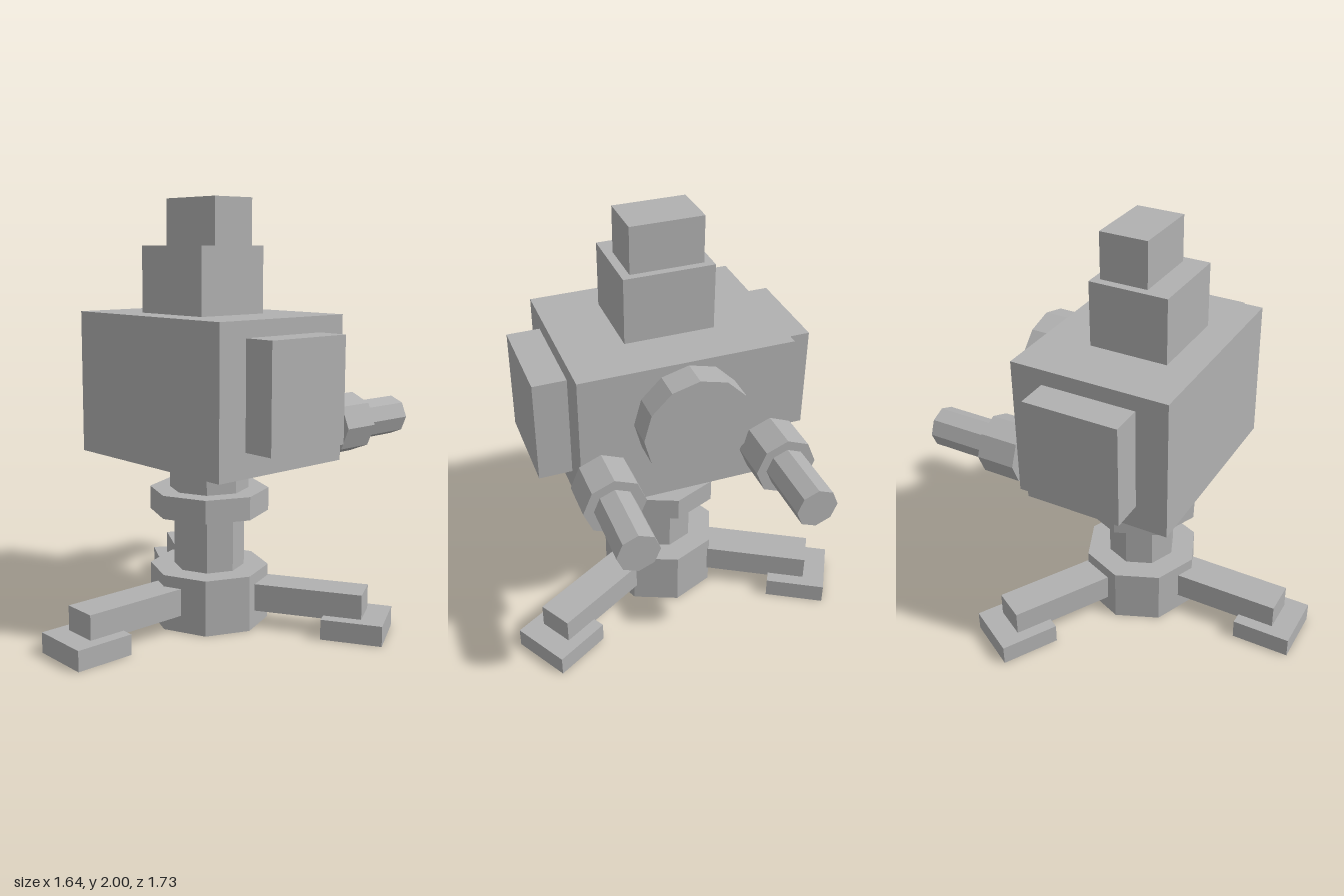
import * as THREE from 'three';

export function createModel() {
  const model = new THREE.Group();
  model.name = 'sentryTurret';
  const grey = new THREE.MeshStandardMaterial({ color: 0xb0b0b0, flatShading: true });
  grey.name = 'plain grey';

  const add = (name, geometry, parent = model) => {
    const mesh = new THREE.Mesh(geometry, grey);
    mesh.name = name;
    parent.add(mesh);
    return mesh;
  };
  // Box given by its lower and upper limits on each axis
  const box = (name, [x0, x1], [y0, y1], [z0, z1], parent) =>
    add(name, new THREE.BoxGeometry(x1 - x0, y1 - y0, z1 - z0)
      .translate((x0 + x1) / 2, (y0 + y1) / 2, (z0 + z1) / 2), parent);
  // Upright prism between two heights
  const post = (name, radius, y0, y1) =>
    add(name, new THREE.CylinderGeometry(radius, radius, y1 - y0, 8).translate(0, (y0 + y1) / 2, 0));
  // Prism lying along z
  const barrel = (name, radius, sides, x, y, z0, z1) =>
    add(name, new THREE.CylinderGeometry(radius, radius, z1 - z0, sides)
      .rotateX(Math.PI / 2).translate(x, y, (z0 + z1) / 2));

  // Pedestal
  post('base', 0.284, 0, 0.265);
  post('column', 0.168, 0.265, 0.535);
  post('collar', 0.284, 0.535, 0.645);
  post('neck', 0.189, 0.645, 0.8);

  // Three legs with feet, one pointing forward
  for (let i = 0; i < 3; i++) {
    const leg = new THREE.Group();
    leg.name = 'leg' + (i + 1);
    box('strut', [-0.083, 0.083], [0.08, 0.21], [0.15, 0.76], leg);
    box('foot', [-0.141, 0.141], [0, 0.095], [0.583, 0.865], leg);
    leg.rotation.y = i * Math.PI * 2 / 3;
    model.add(leg);
  }

  // Head and stacked top blocks
  box('head', [-0.491, 0.491], [0.8, 1.476], [-0.377, 0.381]);
  box('lowerTopBlock', [-0.208, 0.208], [1.476, 1.784], [-0.146, 0.23]);
  box('upperTopBlock', [-0.168, 0.168], [1.784, 2], [-0.112, 0.116]);

  // Side panels and rear guns
  for (const [side, s] of [['left', 1], ['right', -1]]) {
    box(side + 'Panel', s > 0 ? [0.491, 0.644] : [-0.644, -0.491], [0.915, 1.402], [-0.224, 0.23]);
    barrel(side + 'GunMount', 0.142, 8, s * 0.399, 0.95, -0.565, -0.377);
    barrel(side + 'GunBarrel', 0.095, 8, s * 0.399, 0.95, -0.866, -0.565);
  }

  // Round rear hatch
  barrel('rearDisc', 0.247, 12, 0, 1.213, -0.507, -0.377);

  return model;
}
